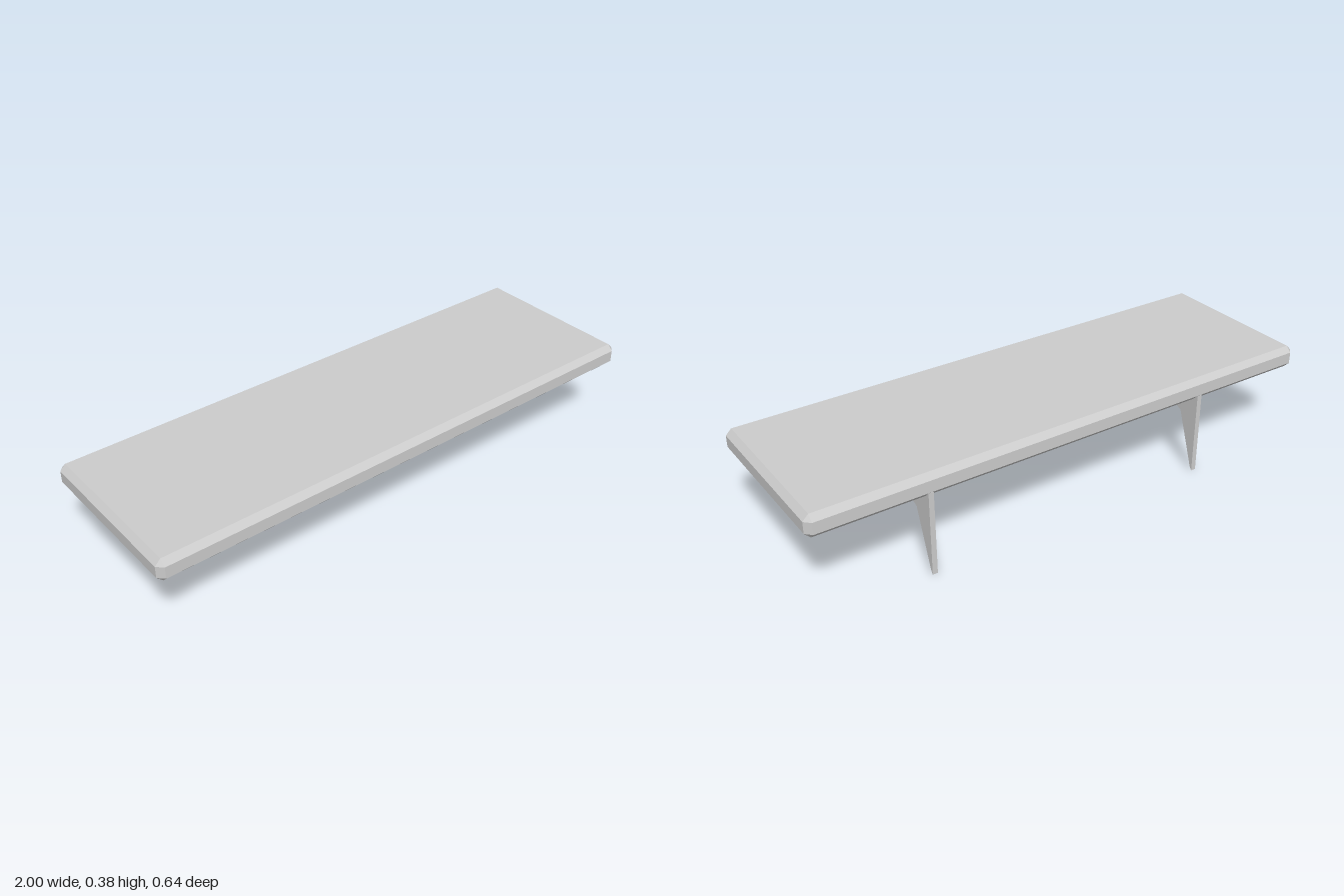
import * as THREE from 'three';
import { ConvexGeometry } from 'three/addons/geometries/ConvexGeometry.js';

const material = new THREE.MeshStandardMaterial({ color: 0xcccccc, flatShading: true });

// Box with every edge and corner chamfered: each corner gives three points
function chamferedBox(w, h, d, c) {
  const points = [];
  for (const sx of [-1, 1]) for (const sy of [-1, 1]) for (const sz of [-1, 1]) {
    for (const axis of [0, 1, 2]) {
      const inset = [c, c, c];
      inset[axis] = 0;
      points.push(new THREE.Vector3(
        sx * (w / 2 - inset[0]), sy * (h / 2 - inset[1]), sz * (d / 2 - inset[2])));
    }
  }
  return new ConvexGeometry(points);
}

// Thin wall bracket: a (z, y) profile extruded across x
function bracketGeometry(thickness) {
  const profile = [
    [-0.318, 0], [-0.308, 0.014], [-0.235, 0.222], [-0.068, 0.296], [-0.298, 0.315], [-0.318, 0.315],
  ].map(([z, y]) => new THREE.Vector2(z, y));
  const geometry = new THREE.ExtrudeGeometry(new THREE.Shape(profile), { depth: thickness, bevelEnabled: false });
  return geometry.translate(0, 0, -thickness / 2).rotateY(-Math.PI / 2);
}

export function createModel() {
  const group = new THREE.Group();
  group.name = 'wallShelf';

  // Shelf board
  const board = new THREE.Mesh(chamferedBox(2, 0.085, 0.638, 0.021), material);
  board.name = 'shelfBoard';
  board.position.y = 0.3385;
  group.add(board);

  // Two brackets under the back edge
  const geometry = bracketGeometry(0.019);
  for (const [name, x] of [['rightBracket', -0.53], ['leftBracket', 0.581]]) {
    const bracket = new THREE.Mesh(geometry, material);
    bracket.name = name;
    bracket.position.x = x;
    group.add(bracket);
  }
  return group;
}
